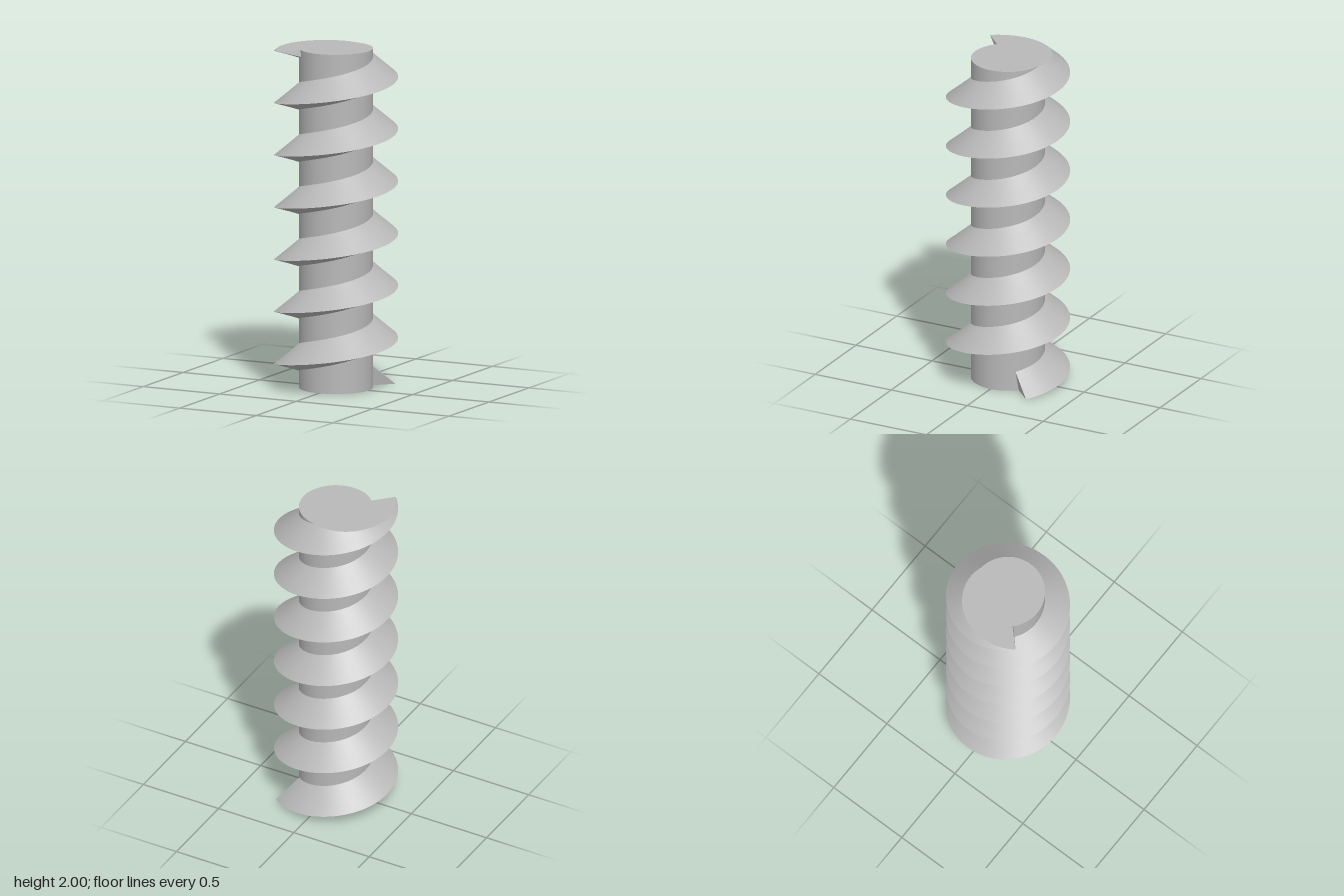
import * as THREE from 'three';

const HEIGHT = 2, TURNS = 6.5, PITCH = HEIGHT / TURNS;
const ROOT = 0.215, CREST = 0.36;   // core and thread crest radii
const RISE = 0.116, DROP = 0.039;   // thread root above and below the crest
const SKEW = 0.78;                  // leans each section square to the helix
const STEPS = 96 * TURNS;

// Thread section at a step, trimmed flat at both ends of the core
function section(i) {
  const phase = (i / STEPS) * TURNS * Math.PI * 2;
  const y = (i / STEPS) * HEIGHT, depth = CREST - ROOT;
  const top = Math.min(y + RISE, HEIGHT), bottom = Math.max(y - DROP, 0);
  const outline = [
    [ROOT, top],
    [CREST - depth * (top - y) / RISE, top],
    [CREST, y],
    [CREST - depth * (y - bottom) / DROP, bottom],
    [ROOT, bottom],
  ];
  return outline.map(([r, h]) => {
    const a = Math.PI / 4 + phase - SKEW * (h - y);
    return new THREE.Vector3(r * Math.cos(a), h, -r * Math.sin(a));
  });
}

function geometryFrom(points, index) {
  const g = new THREE.BufferGeometry().setFromPoints(points);
  g.setIndex(index);
  g.computeVertexNormals();
  return g;
}

export function createModel() {
  const model = new THREE.Group();
  model.name = 'threadedRod';
  const steel = new THREE.MeshStandardMaterial({ color: 0xb8b8b8 });
  steel.name = 'grey steel';
  const add = (parent, name, geometry) => {
    const mesh = new THREE.Mesh(geometry, steel);
    mesh.name = name;
    parent.add(mesh);
  };

  // Core
  const core = new THREE.CylinderGeometry(ROOT, ROOT, HEIGHT, 96);
  core.translate(0, HEIGHT / 2, 0);
  add(model, 'core', core);

  // Thread: one smooth strip per side, so the crest stays sharp
  const thread = new THREE.Group();
  thread.name = 'thread';
  model.add(thread);
  const sections = Array.from({ length: STEPS + 1 }, (_, i) => section(i));
  ['threadTopFlat', 'threadUpperFlank', 'threadLowerFlank', 'threadBottomFlat'].forEach((name, j) => {
    const points = [], index = [];
    sections.forEach((s, i) => {
      points.push(s[j], s[j + 1]);
      if (i === STEPS) return;
      const n = sections[i + 1];
      // Leave out stretches where the strip has no width
      if (s[j].distanceTo(s[j + 1]) + n[j].distanceTo(n[j + 1]) < 1e-6) return;
      const a = 2 * i;
      index.push(a, a + 1, a + 3, a, a + 3, a + 2);
    });
    add(thread, name, geometryFrom(points, index));
  });

  // Thread end faces
  add(thread, 'threadStart', geometryFrom(sections[0], [0, 4, 2]));
  add(thread, 'threadEnd', geometryFrom(sections[STEPS], [0, 2, 4]));
  return model;
}
